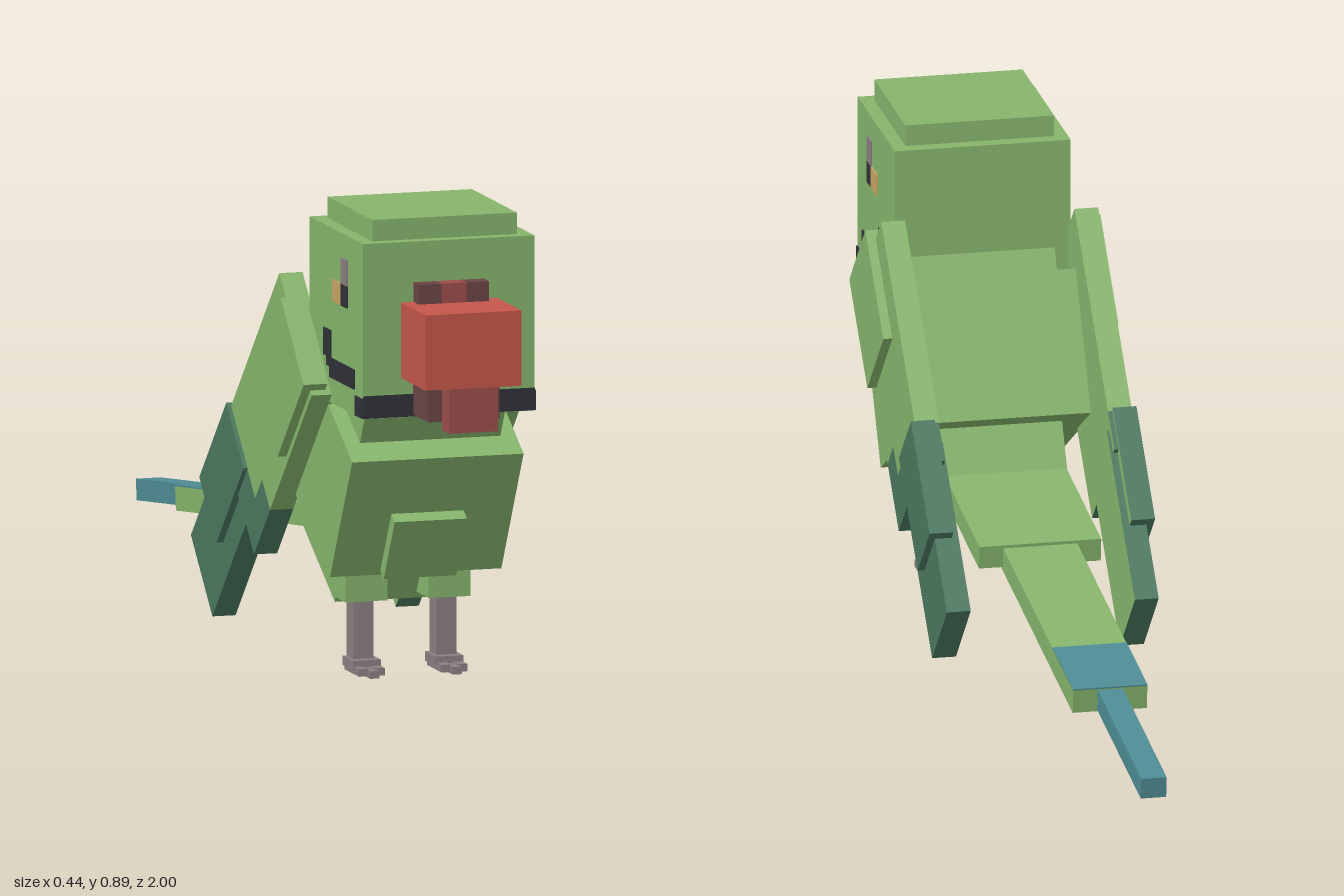
import * as THREE from 'three';

const mat = (name, color) => {
  const m = new THREE.MeshStandardMaterial({ color });
  m.name = name;
  return m;
};

export function createModel() {
  const green = mat('leafGreen', 0x86b56c);
  const darkGreen = mat('darkGreen', 0x4a785f);
  const teal = mat('teal', 0x4f8c94);
  const red = mat('beakRed', 0xc4564a);
  const dullRed = mat('dullRed', 0x9c4c4a);
  const maroon = mat('maroon', 0x6b4444);
  const black = mat('black', 0x2f3238);
  const grey = mat('legGrey', 0x8a7f82);
  const amber = mat('amber', 0xc8a664);

  const root = new THREE.Group();
  root.name = 'parrot';

  const group = (name, parent = root, y = 0, z = 0, deg = 0) => {
    const g = new THREE.Group();
    g.name = name;
    g.position.set(0, y, z);
    g.rotation.x = THREE.MathUtils.degToRad(deg);
    parent.add(g);
    return g;
  };
  // Box given by its limits on each axis
  const box = (parent, name, m, [x0, x1], [y0, y1], [z0, z1]) => {
    const mesh = new THREE.Mesh(new THREE.BoxGeometry(x1 - x0, y1 - y0, z1 - z0), m);
    mesh.name = name;
    mesh.position.set((x0 + x1) / 2, (y0 + y1) / 2, (z0 + z1) / 2);
    parent.add(mesh);
    return mesh;
  };
  // Box limits mirrored to the given side
  const side = (s, a, b) => (s > 0 ? [a, b] : [-b, -a]);

  // Head with crown and throat band
  const head = group('head');
  box(head, 'skull', green, [-0.166, 0.166], [0.522, 0.85], [0.52, 0.848]);
  box(head, 'crown', green, [-0.14, 0.14], [0.85, 0.89], [0.547, 0.823]);
  box(head, 'throatBand', black, [-0.166, 0.166], [0.523, 0.565], [0.848, 0.851]);

  // Beak
  const beak = group('beak', head);
  box(beak, 'upperBeak', red, [-0.093, 0.093], [0.596, 0.737], [0.848, 1]);
  box(beak, 'beakTip', dullRed, [-0.047, 0.047], [0.513, 0.596], [0.955, 1]);
  box(beak, 'lowerBeak', maroon, [-0.069, 0.069], [0.526, 0.596], [0.848, 0.942]);
  for (const s of [1, -1]) box(beak, 'nostril', maroon, side(s, 0.024, 0.068), [0.737, 0.774], [0.848, 0.88]);
  box(beak, 'nostrilBridge', dullRed, [-0.024, 0.024], [0.737, 0.774], [0.848, 0.88]);

  // Face markings on both cheeks
  for (const s of [1, -1]) {
    const x = side(s, 0.165, 0.169);
    box(head, 'eyelid', grey, x, [0.756, 0.805], [0.72, 0.756]);
    box(head, 'pupil', black, x, [0.715, 0.756], [0.72, 0.756]);
    box(head, 'iris', amber, x, [0.715, 0.756], [0.668, 0.72]);
    box(head, 'throatStripe', black, x, [0.523, 0.56], [0.805, 0.849]);
    box(head, 'cheekStripe', black, x, [0.57, 0.607], [0.65, 0.8]);
    box(head, 'cheekStripeEnd', black, x, [0.607, 0.658], [0.612, 0.655]);
    box(head, 'cheekStripeJoint', black, x, [0.59, 0.607], [0.63, 0.65]);
  }

  // Body, leaning forward
  const torso = group('torso', root, 0.4085, 0.5465, 30);
  box(torso, 'chest', green, [-0.166, 0.166], [-0.1365, 0.1365], [-0.1925, 0.1925]);
  box(torso, 'neck', green, [-0.136, 0.136], [0.13, 0.235], [-0.14, 0.1375]);
  box(torso, 'bellyPatch', green, [-0.07, 0.07], [-0.127, 0.008], [0.18, 0.217]);

  // Rump; origin at its lower front edge
  const rump = group('rump', root, 0.125, 0.516, 30);
  box(rump, 'rumpBlock', green, [-0.116, 0.116], [0, 0.2], [-0.25, 0]);

  // Tail; origin on its top face at z = 0
  const tail = group('tail', root, 0.237, 0, -7);
  box(tail, 'tailCover', green, [-0.115, 0.115], [-0.04, 0.004], [0.01, 0.4]);
  box(tail, 'tailBase', green, [-0.07, 0.07], [-0.047, -0.002], [-0.614, 0.2]);
  box(tail, 'tailBand', teal, [-0.07, 0.07], [-0.002, 0.001], [-0.614, -0.43]);
  box(tail, 'tailTip', teal, [-0.024, 0.024], [-0.044, -0.004], [-1.003, -0.6]);

  // Wings: local y runs up along the wing, local z across it
  for (const s of [1, -1]) {
    const wing = group(s > 0 ? 'leftWing' : 'rightWing', root, 0.46, 0.38, 45);
    // Dark outside, plain green on the inner face
    const feather = [0, 1, 2, 3, 4, 5].map((i) => (i === (s > 0 ? 1 : 0) ? green : darkGreen));
    const x = side(s, 0.16, 0.205);
    box(wing, 'wingMainFront', green, x, [-0.11, 0.25], [0.07, 0.14]);
    box(wing, 'wingMainBack', green, x, [-0.17, 0.25], [-0.14, 0.07]);
    box(wing, 'wingEndFront', feather, x, [-0.25, -0.11], [0.07, 0.14]);
    box(wing, 'wingEndBack', feather, x, [-0.25, -0.17], [-0.14, 0.07]);

    const shoulder = group('shoulder', root, 0.55, 0.51, 45);
    box(shoulder, 'shoulderPlate', green, side(s, 0.176, 0.222), [-0.113, 0.113], [-0.1, 0.1]);

    const cover = group('featherLayer', root, 0.31, 0.128, 45);
    box(cover, 'featherPlate', feather, side(s, 0.168, 0.213), [-0.117, 0.117], [-0.075, 0.075]);

    const tip = group('wingTip', root, 0.215, 0.09, 45);
    box(tip, 'wingTipBlock', feather, side(s, 0.155, 0.2), [-0.176, 0.176], [-0.093, 0.093]);
  }

  // Legs and feet
  for (const s of [1, -1]) {
    const leg = group(s > 0 ? 'leftLeg' : 'rightLeg');
    box(leg, 'thigh', green, side(s, 0.04, 0.121), [0.137, 0.27], [0.513, 0.598]);
    box(leg, 'shank', grey, side(s, 0.061, 0.1), [0.012, 0.14], [0.537, 0.58]);
    box(leg, 'ankle', grey, side(s, 0.053, 0.107), [0.009, 0.027], [0.535, 0.6]);
    box(leg, 'outerToe', grey, side(s, 0.087, 0.105), [0.002, 0.016], [0.54, 0.63]);
    box(leg, 'innerToe', grey, side(s, 0.055, 0.073), [0.002, 0.016], [0.54, 0.63]);
    box(leg, 'middleToe', grey, side(s, 0.071, 0.089), [0, 0.014], [0.5, 0.647]);
  }

  return root;
}
